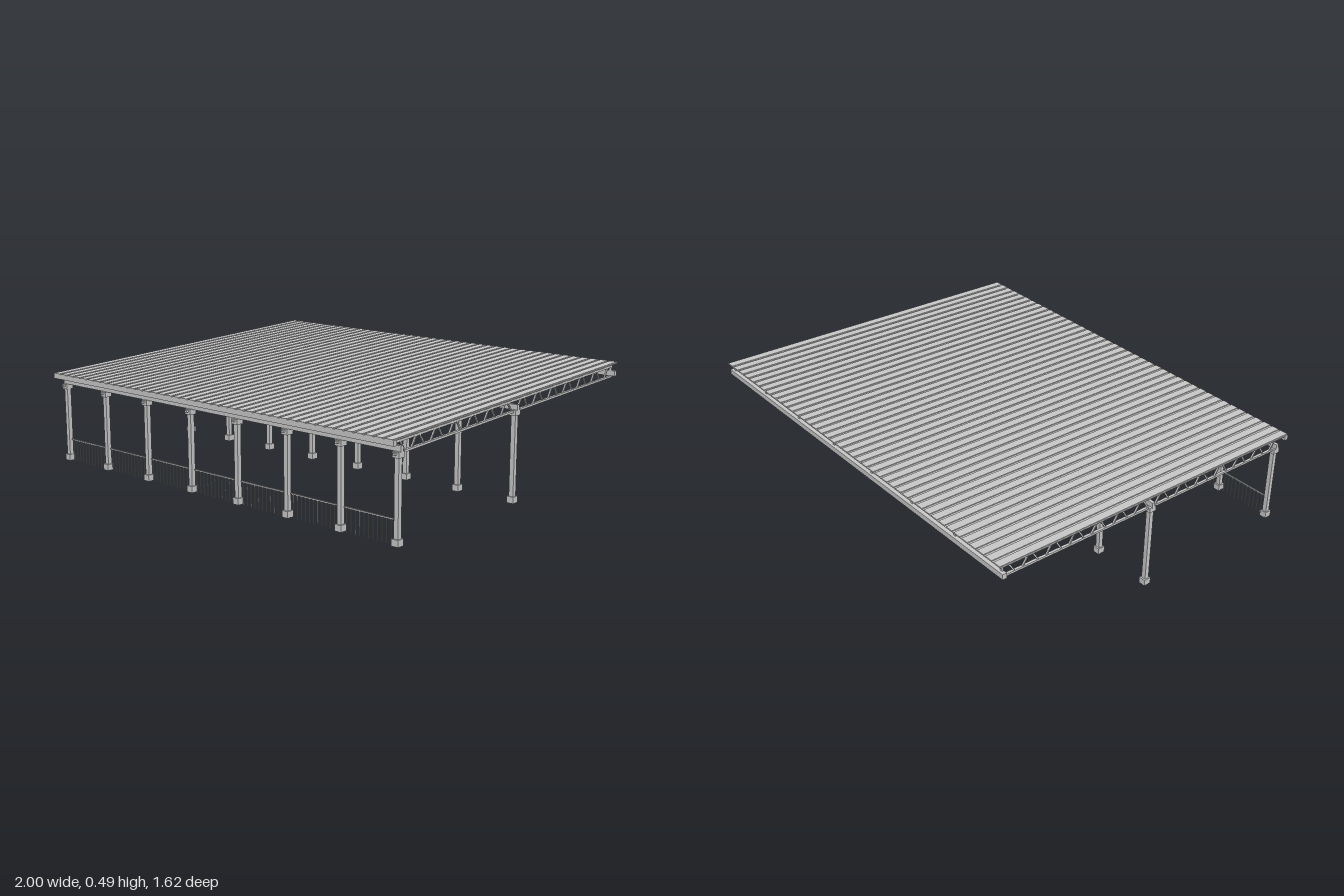
import * as THREE from 'three';

const steel = new THREE.MeshStandardMaterial({ color: 0xcacaca });
steel.name = 'grey steel';

const SLOPE = 0.0428;
const XS = Array.from({ length: 8 }, (_, i) => -0.977 + i * (1.954 / 7));
const ROOF_DEPTH = 1.62 * Math.hypot(1, SLOPE);
// heights of the sloping chords at depth z
const lowY = (z) => 0.3885 - z * SLOPE;
const highY = (z) => 0.4345 - z * SLOPE;

function add(parent, geo, name, x = 0, y = 0, z = 0) {
  const mesh = new THREE.Mesh(geo, steel);
  mesh.name = name;
  mesh.position.set(x, y, z);
  parent.add(mesh);
  return mesh;
}

const box = (parent, name, w, h, d, x, y, z) =>
  add(parent, new THREE.BoxGeometry(w, h, d), name, x, y, z);

// bar running between two points in the depth/height plane
function bar(parent, name, z1, y1, z2, y2, w, h) {
  const len = Math.hypot(z2 - z1, y2 - y1);
  const m = box(parent, name, w, h, len, 0, (y1 + y2) / 2, (z1 + z2) / 2);
  m.rotation.x = -Math.atan2(y2 - y1, z2 - z1);
}

// sheet with square ribs: profile across the width, extruded down the slope
function roofSheet() {
  const n = 42, pitch = 2 / n, top = 0.005, valley = 0.001;
  const s = new THREE.Shape();
  s.moveTo(-1, -0.001);
  s.lineTo(1, -0.001);
  for (let i = n - 1; i >= 0; i--) {
    const x = -1 + i * pitch;
    s.lineTo(x + pitch, valley);
    s.lineTo(x + pitch * 0.88, valley);
    s.lineTo(x + pitch * 0.88, top);
    s.lineTo(x + pitch * 0.12, top);
    s.lineTo(x + pitch * 0.12, valley);
  }
  s.lineTo(-1, valley);
  const geo = new THREE.ExtrudeGeometry(s, { depth: ROOF_DEPTH, bevelEnabled: false });
  geo.translate(0, 0, -ROOF_DEPTH / 2);
  geo.rotateX(Math.atan(SLOPE));
  return geo;
}

// thin lining facing down, sharing the normals of the sheet above it
function roofLining() {
  const geo = new THREE.PlaneGeometry(2, ROOF_DEPTH);
  geo.rotateX(-Math.PI / 2 + Math.atan(SLOPE));
  geo.setIndex(Array.from(geo.index.array).reverse());
  return geo;
}

// lattice truss with flat-topped zigzag webs
function truss(x) {
  const g = new THREE.Group();
  g.name = 'roofTruss';
  g.position.x = x;
  bar(g, 'bottomChord', -0.79, lowY(-0.79), 0.78, lowY(0.78), 0.012, 0.009);
  bar(g, 'topChord', -0.79, highY(-0.79), 0.79, highY(0.79), 0.012, 0.009);
  const count = 13, step = 1.52 / count;
  for (let i = 0; i < count; i++) {
    const z = 0.755 - i * step;
    const a = z - step * 0.08, b = z - step * 0.33;
    const c = z - step * 0.67, d = z - step * 0.92;
    bar(g, 'web', a, highY(a), b, lowY(b), 0.007, 0.006);
    bar(g, 'web', c, lowY(c), d, highY(d), 0.007, 0.006);
  }
  box(g, 'endPost', 0.012, 0.046, 0.007, 0, (lowY(-0.785) + highY(-0.785)) / 2, -0.785);
  return g;
}

// square column with base and cap blocks
function column(x, z, capY) {
  const g = new THREE.Group();
  g.name = 'column';
  g.position.set(x, 0, z);
  box(g, 'base', 0.032, 0.028, 0.034, 0, 0.014, 0);
  box(g, 'shaft', 0.021, capY, 0.02, 0, capY / 2, 0);
  box(g, 'cap', 0.032, 0.024, 0.034, 0, capY, 0);
  return g;
}

// picket railing between two neighbouring columns
function railing(x1, x2, z) {
  const g = new THREE.Group();
  g.name = 'railing';
  const a = x1 + 0.02, b = x2 - 0.02, pickets = 11;
  box(g, 'handrail', b - a, 0.006, 0.006, (a + b) / 2, 0.1, z);
  for (let i = 0; i < pickets; i++) {
    const x = a + ((i + 0.5) / pickets) * (b - a);
    box(g, 'picket', 0.003, 0.1, 0.003, x, 0.05, z);
  }
  return g;
}

export function createModel() {
  const model = new THREE.Group();
  model.name = 'openShelter';

  add(model, roofSheet(), 'roofSheet', 0, 0.448, 0);
  add(model, roofLining(), 'roofLining', 0, 0.445, 0);

  // trusses and the two rows of columns
  XS.forEach((x) => {
    model.add(truss(x), column(x, 0.752, 0.351), column(x, -0.01, 0.383));
  });

  // long beams resting on the columns
  box(model, 'frontBeam', 1.99, 0.024, 0.014, 0, 0.374, 0.752);
  box(model, 'middleBeam', 1.99, 0.024, 0.014, 0, 0.405, -0.01);

  // edge beams along the eaves
  box(model, 'frontEdgeBeam', 2, 0.022, 0.02, 0, 0.404, 0.8);
  box(model, 'backEdgeBeam', 2, 0.024, 0.02, 0, 0.437, -0.79);

  // railings along the front
  for (let i = 0; i < XS.length - 1; i++) model.add(railing(XS[i], XS[i + 1], 0.752));

  return model;
}
